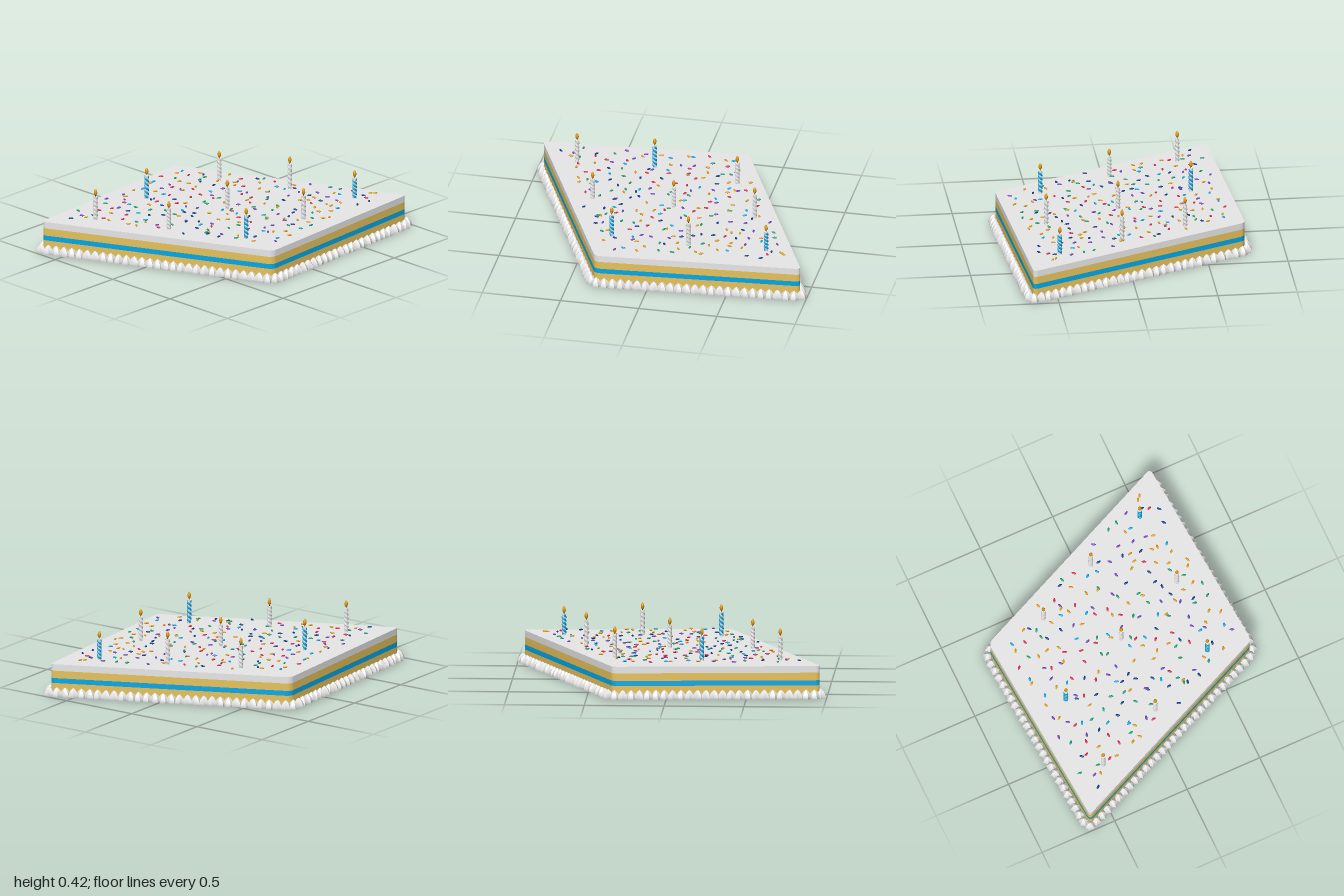
import * as THREE from 'three';
import { mergeGeometries, toCreasedNormals } from 'three/addons/utils/BufferGeometryUtils.js';

const paint = (name, color) => Object.assign(new THREE.MeshStandardMaterial({ color }), { name });

// Skewed four-sided outline with rounded corners; corners are [x, z]
function roundedOutline(points, radius) {
  const corners = points.map(([x, z]) => new THREE.Vector2(x, -z));
  const shape = new THREE.Shape();
  corners.forEach((c, i) => {
    const toward = (other) => other.clone().sub(c).setLength(radius).add(c);
    const a = toward(corners[(i + 3) % 4]);
    const b = toward(corners[(i + 1) % 4]);
    if (i === 0) shape.moveTo(a.x, a.y);
    else shape.lineTo(a.x, a.y);
    shape.quadraticCurveTo(c.x, c.y, b.x, b.y);
  });
  shape.closePath();
  return shape;
}

export function createModel() {
  const cake = new THREE.Group();
  cake.name = 'cake';
  const white = paint('white icing', 0xf2f2f2);
  const sponge = paint('yellow sponge', 0xf0ca60);
  const blue = paint('blue filling', 0x00aaea);
  const navy = paint('navy board', 0x06398a);
  const gold = paint('gold', 0xe09a08);
  const red = paint('raspberry', 0xd8264e);
  const purple = paint('purple', 0x7040c0);
  const green = paint('green', 0x14a070);
  const black = paint('wick black', 0x2a2420);

  const add = (parent, name, geometry, material) => {
    const mesh = new THREE.Mesh(geometry, material);
    mesh.name = name;
    parent.add(mesh);
  };

  // Small repeatable random source
  let seed = 7;
  const rand = () => (seed = (seed * 16807) % 2147483647) / 2147483647;

  // Layers, from the board up
  const outline = roundedOutline([[-0.655, 0.965], [0.75, 0.335], [0.655, -0.965], [-0.75, -0.335]], 0.035);
  const layer = (name, bottom, top, material) => {
    const g = new THREE.ExtrudeGeometry(outline, { depth: top - bottom, bevelEnabled: false, curveSegments: 6 });
    g.rotateX(-Math.PI / 2).translate(0, bottom, 0);
    add(cake, name, toCreasedNormals(g, 0.6), material);
  };
  layer('board', 0, 0.008, navy);
  layer('lowerSponge', 0.008, 0.083, sponge);
  layer('filling', 0.083, 0.115, blue);
  layer('upperSponge', 0.115, 0.163, sponge);
  layer('topIcing', 0.163, 0.205, white);

  // One piped star: a fluted, pointed dome
  const profile = [[0, 0.002], [0.033, 0.002], [0.035, 0.012], [0.028, 0.032], [0.015, 0.049], [0, 0.06]]
    .map(([r, y]) => new THREE.Vector2(r, y));
  const lathe = new THREE.LatheGeometry(profile, 12);
  const p = lathe.attributes.position;
  for (let i = 0; i < p.count; i++) {
    const flute = Math.floor(i / profile.length) % 2 ? 0.8 : 1;
    p.setX(i, p.getX(i) * flute);
    p.setZ(i, p.getZ(i) * flute);
  }
  const star = toCreasedNormals(lathe, 0.5);

  // Piped border, evenly spaced around the foot
  const border = roundedOutline([[-0.675, 0.985], [0.768, 0.348], [0.675, -0.985], [-0.768, -0.348]], 0.06);
  const stars = border.getSpacedPoints(110).slice(0, 110)
    .map((s) => star.clone().rotateY(rand() * 6.28).translate(s.x, 0, -s.y));
  add(cake, 'pipedBorder', mergeGeometries(stars), white);

  // Candles: [x, z, top height, stripe colour]
  const candles = [
    [-0.37, -0.34, 0.35, white], [0.05, -0.54, 0.37, white], [0.46, -0.7, 0.34, blue],
    [-0.47, 0.21, 0.36, blue], [0.015, -0.015, 0.345, white], [0.49, -0.21, 0.362, white],
    [-0.44, 0.7, 0.358, white], [0.01, 0.505, 0.342, white], [0.47, 0.285, 0.358, blue],
  ];
  const base = 0.205;
  for (const [x, z, top, stripe] of candles) {
    const candle = new THREE.Group();
    candle.name = 'candle';
    candle.position.set(x, base, z);
    cake.add(candle);
    const h = top - base;
    add(candle, 'stick', new THREE.CylinderGeometry(0.012, 0.012, h, 20).translate(0, h / 2, 0), white);
    add(candle, 'wick', new THREE.CylinderGeometry(0.002, 0.002, 0.014, 6).translate(0, h + 0.007, 0), black);
    const flame = [[0, 0], [0.007, 0.006], [0.011, 0.018], [0.01, 0.03], [0.005, 0.042], [0, 0.048]]
      .map(([r, y]) => new THREE.Vector2(r, y + h + 0.004));
    add(candle, 'flame', new THREE.LatheGeometry(flame, 14), gold);

    // Two broad winding stripes
    const stripes = [0, Math.PI].map((start) => {
      const points = [];
      for (let i = 0; i <= 40; i++) {
        const a = start + (i / 40) * Math.PI * 5;
        points.push(new THREE.Vector3(Math.cos(a) * 0.0065, 0.007 + (i / 40) * (h - 0.014), Math.sin(a) * 0.0065));
      }
      return new THREE.TubeGeometry(new THREE.CatmullRomCurve3(points), 80, 0.0085, 8);
    });
    add(candle, 'stripes', mergeGeometries(stripes), stripe);
  }

  // Sprinkles scattered over the icing, away from the candles
  const colours = [gold, gold, blue, red, purple, green, navy];
  const scatter = new Map(colours.map((c) => [c, []]));
  const cells = 15;
  for (let i = 0; i < cells * cells; i++) {
    const u = (((i % cells) + rand()) / cells * 2 - 1) * 0.9;
    const v = ((Math.floor(i / cells) + rand()) / cells * 2 - 1) * 0.9;
    const x = u * 0.7025 - v * 0.0475;
    const z = -u * 0.315 - v * 0.65;
    const colour = colours[Math.floor(rand() * colours.length)];
    const angle = rand() * Math.PI;
    if (candles.some((c) => Math.hypot(c[0] - x, c[1] - z) < 0.03)) continue;
    scatter.get(colour).push(new THREE.SphereGeometry(1, 14, 10)
      .scale(0.0155, 0.005, 0.007).rotateY(angle).translate(x, 0.221, z));
  }
  scatter.forEach((list, colour) => add(cake, 'sprinkles', mergeGeometries(list), colour));

  return cake;
}
